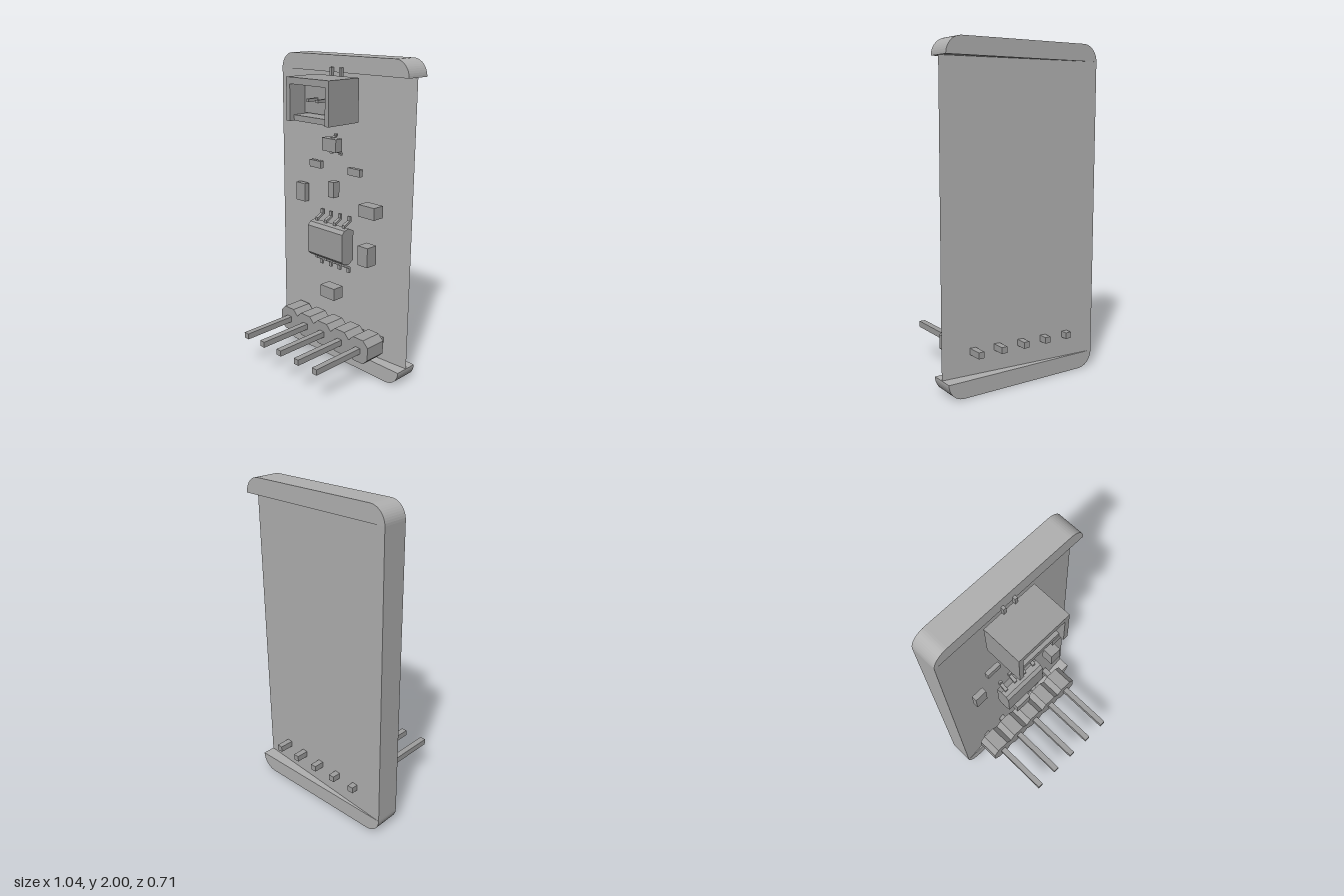
import * as THREE from 'three';

export function createModel() {
  const root = new THREE.Group();
  const boardMat = new THREE.MeshStandardMaterial({ color: 0xb0b0b0 });
  boardMat.name = 'board grey';
  const partMat = new THREE.MeshStandardMaterial({ color: 0x9e9e9e });
  partMat.name = 'component grey';
  const FRONT = -0.17, BACK = -0.33;

  function add(name, geometry, material = partMat, parent = root) {
    const m = new THREE.Mesh(geometry, material);
    m.name = name;
    parent.add(m);
    return m;
  }
  function group(name) {
    const g = new THREE.Group();
    g.name = name;
    root.add(g);
    return g;
  }
  // box given by its limits
  function box(name, x0, x1, y0, y1, z0, z1, parent = root) {
    const g = new THREE.BoxGeometry(x1 - x0, y1 - y0, z1 - z0);
    g.translate((x0 + x1) / 2, (y0 + y1) / 2, (z0 + z1) / 2);
    return add(name, g, partMat, parent);
  }
  function extrude(points, depth) {
    const s = new THREE.Shape(points.map(p => new THREE.Vector2(...p)));
    return new THREE.ExtrudeGeometry(s, { depth, bevelEnabled: false });
  }
  // profile in (z, y), extruded along x from x0 to x1
  function sideProfile(name, points, x0, x1, parent) {
    const g = extrude(points.map(([z, y]) => [-z, y]), x1 - x0);
    g.rotateY(Math.PI / 2);
    g.translate(x0, 0, 0);
    return add(name, g, partMat, parent);
  }

  // board: rounded end strips joined by a panel that tapers towards its left
  const board = group('board');
  for (const top of [false, true]) {
    const s = new THREE.Shape();
    s.moveTo(-0.52, 0.1);
    s.absarc(-0.42, 0.1, 0.1, Math.PI, Math.PI * 1.5, false);
    s.absarc(0.42, 0.1, 0.1, Math.PI * 1.5, Math.PI * 2, false);
    s.closePath();
    const g = new THREE.ExtrudeGeometry(s, { depth: FRONT - BACK, bevelEnabled: false, curveSegments: 6 });
    g.translate(0, 0, BACK);
    if (top) {
      g.translate(0, -1, -(FRONT + BACK) / 2);
      g.rotateZ(Math.PI);
      g.translate(0, 1, (FRONT + BACK) / 2);
    }
    add(top ? 'topStrip' : 'bottomStrip', g, boardMat, board);
  }
  const panel = extrude([[-0.52, -FRONT], [0.52, 0.25], [-0.52, -BACK]], 1.8);
  panel.rotateX(-Math.PI / 2);
  panel.translate(0, 0.1, 0);
  add('panel', panel, boardMat, board);

  // pin header
  const header = group('pinHeader');
  for (let i = 0; i < 5; i++) {
    const x = -0.312 + i * 0.1585, y = 0.242, w = 0.08, c = 0.042;
    const g = extrude([[-c, -w], [c, -w], [w, -c], [w, c], [c, w], [-c, w], [-w, c], [-w, -c]], 0.145);
    g.translate(x, y, -0.16);
    add('headerBody', g, partMat, header);
    box('headerPin', x - 0.019, x + 0.019, y - 0.019, y + 0.019, -0.357, 0.357, header);
  }

  // gull-wing lead: leaves the body at yIn and lands on the board at yOut
  function lead(x, yIn, yOut, zBody, parent) {
    const d = yOut - yIn, t = 0.014;
    const pts = [[zBody, yIn - d * 0.2], [zBody, yIn + d * 0.3], [FRONT + t, yIn + d * 0.6], [FRONT + t, yOut],
      [FRONT, yOut], [FRONT, yIn + d * 0.5], [zBody - t, yIn + d * 0.15], [zBody - t, yIn - d * 0.2]];
    sideProfile('lead', pts, x - 0.011, x + 0.011, parent);
  }

  // eight-lead chip
  const chip = group('chip');
  sideProfile('chipBody', [[-0.165, 0.75], [-0.125, 0.725], [-0.085, 0.735], [-0.065, 0.755],
    [-0.065, 0.935], [-0.085, 0.957], [-0.125, 0.965], [-0.165, 0.945]], -0.175, 0.13, chip);
  for (const x of [-0.144, -0.064, 0.016, 0.096]) {
    lead(x, 0.96, 1.03, -0.11, chip);
    lead(x, 0.73, 0.655, -0.11, chip);
  }

  // three-lead transistor
  const transistor = group('transistor');
  box('transistorBody', -0.085, 0.035, 1.43, 1.51, -0.155, -0.1, transistor);
  lead(-0.025, 1.505, 1.532, -0.125, transistor);
  lead(-0.064, 1.435, 1.405, -0.125, transistor);
  lead(0.016, 1.435, 1.405, -0.125, transistor);

  // small surface parts: x0, x1, y0, y1, front z
  const chips = [
    [-0.24, -0.14, 1.297, 1.343, -0.143], [0.095, 0.195, 1.297, 1.343, -0.143],
    [-0.05, 0, 1.135, 1.235, -0.12], [-0.36, -0.278, 1.055, 1.175, -0.135],
    [0.238, 0.362, 1.075, 1.15, -0.09], [0.238, 0.317, 0.765, 0.89, -0.09],
    [-0.085, 0.037, 0.46, 0.54, -0.09]];
  for (const [x0, x1, y0, y1, z] of chips) box('surfacePart', x0, x1, y0, y1, FRONT, z);

  // socket: back block, surrounding walls and two contacts
  const socket = group('socket');
  box('socketBack', -0.2, 0.157, 1.66, 1.88, -0.165, -0.04, socket);
  box('socketTop', -0.2, 0.157, 1.84, 1.88, -0.04, 0.083, socket);
  box('socketFloor', -0.17, 0.127, 1.62, 1.655, -0.16, 0.05, socket);
  for (const s of [-1, 1]) {
    const x = -0.0215 + s * 0.163;
    box('socketWall', x - 0.0155, x + 0.0155, 1.62, 1.84, -0.04, 0.083, socket);
    box('socketFoot', x - 0.0155, x + 0.0155, 1.62, 1.66, -0.165, -0.04, socket);
    const cx = -0.0235 + s * 0.04;
    box('contact', cx - 0.009, cx + 0.009, 1.74, 1.758, -0.04, 0.04, socket);
    box('contactTail', cx - 0.009, cx + 0.009, 1.87, 1.93, FRONT, -0.15, socket);
  }
  return root;
}
